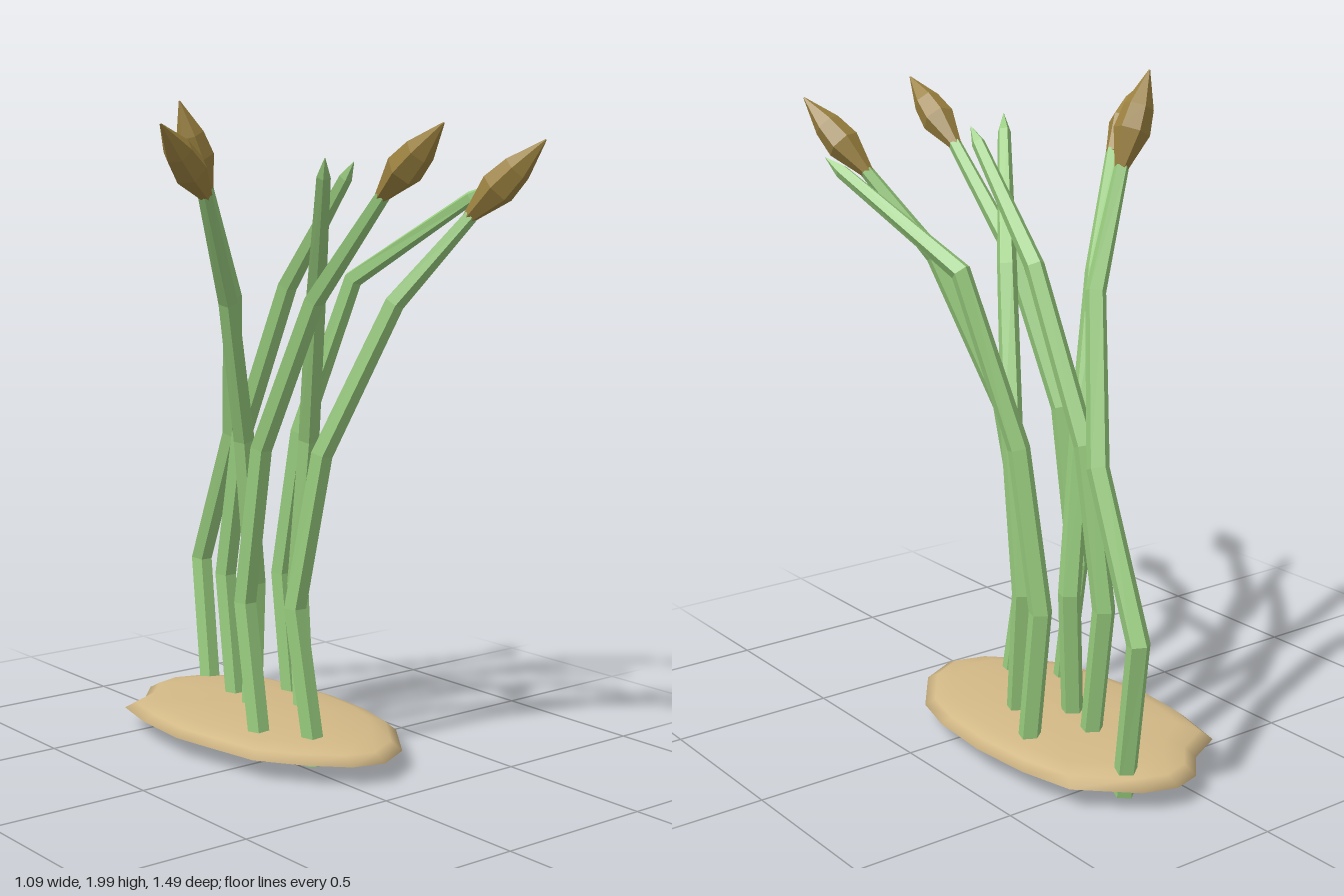
import * as THREE from 'three';

const material = (color, flatShading) =>
  new THREE.MeshStandardMaterial({ color, flatShading, roughness: 0.9 });
const green = material(0x98cc7e, true);
const brown = material(0x9c8240, true);
const sand = material(0xd2b886, false);

// Quads between successive rings of n points, ring order counter-clockwise from above
function skin(rings, smooth) {
  const n = rings[0].length, pos = [], idx = [];
  rings.forEach(r => r.forEach(p => pos.push(p.x, p.y, p.z)));
  for (let i = 0; i < rings.length - 1; i++)
    for (let j = 0; j < n; j++) {
      const a = i * n + j, b = i * n + (j + 1) % n;
      idx.push(a, b, b + n, a, b + n, a + n);
    }
  let g = new THREE.BufferGeometry();
  g.setAttribute('position', new THREE.Float32BufferAttribute(pos, 3));
  g.setIndex(idx);
  if (!smooth) g = g.toNonIndexed();
  g.computeVertexNormals();
  return g;
}

// Faceted limb along a path, with one radius per point
function limb(path, radii, sides) {
  const rings = path.map((p, i) => {
    const prev = path[Math.max(i - 1, 0)], next = path[Math.min(i + 1, path.length - 1)];
    const t = new THREE.Vector3();
    if (p !== prev) t.add(p.clone().sub(prev).normalize());
    if (p !== next) t.add(next.clone().sub(p).normalize());
    t.normalize();
    const u = new THREE.Vector3(1, 0, 0).addScaledVector(t, -t.x).normalize();
    const v = t.clone().cross(u);
    return Array.from({ length: sides }, (_, k) => {
      const a = (k + 0.25) / sides * Math.PI * 2;
      return p.clone().addScaledVector(u, radii[i] * Math.cos(a)).addScaledVector(v, radii[i] * Math.sin(a));
    });
  });
  rings.unshift(rings[0].map(() => path[0].clone())); // closed foot
  return skin(rings, false);
}

// Reeds: path from foot to end, plus the head tip where there is a seed head
const reeds = [
  { path: [[.02, .025, .155], [-.01, .5, .09], [.03, .97, .165], [.15, 1.42, .345], [.28, 1.67, .52]], head: [.375, 1.88, .715] },
  { path: [[-.075, .025, .01], [-.08, .5, -.065], [-.075, .98, .01], [-.06, 1.43, .24], [-.04, 1.73, .51]], head: [-.03, 1.92, .74] },
  { path: [[.07, .025, -.235], [.105, .5, -.26], [.03, .97, -.215], [-.12, 1.41, -.09], [-.32, 1.73, .075]], head: [-.545, 1.92, .185] },
  { path: [[.18, .025, -.605], [.2, .5, -.685], [.18, .95, -.48], [.075, 1.41, -.335], [-.06, 1.74, -.28]], head: [-.17, 2, -.265] },
  { path: [[.185, .025, -.105], [.21, .5, -.175], [.19, .97, -.095], [.08, 1.42, .075], [-.12, 1.83, .36]] },
  { path: [[.275, .025, -.28], [.265, .5, -.33], [.28, .97, -.25], [.36, 1.46, -.09], [.54, 1.75, .32]] },
  { path: [[.11, .015, -.36], [.11, .5, -.425], [.11, .97, -.335], [.11, 1.45, -.1], [.11, 1.82, .21]] },
];

function makeReed({ path, head }, i) {
  const reed = new THREE.Group();
  reed.name = 'reed' + (i + 1);
  const pts = path.map(p => new THREE.Vector3(...p));
  const end = pts[4];
  let radii = [.034, .035, .034, .031, .022];
  if (!head) { // leaf blade ending in a short point
    pts.splice(4, 0, pts[3].clone().lerp(end, .88));
    radii = [.034, .035, .034, .031, .021, .001];
  }
  const stem = new THREE.Mesh(limb(pts, radii, 5), green);
  stem.name = head ? 'stem' : 'leaf';
  reed.add(stem);
  if (head) {
    const tip = new THREE.Vector3(...head);
    const profile = [[-.04, .018], [.1, .03], [.36, .053], [.62, .043], [1, .002]];
    const seed = new THREE.Mesh(
      limb(profile.map(([t]) => end.clone().lerp(tip, t)), profile.map(q => q[1]), 6), brown);
    seed.name = 'seedHead';
    reed.add(seed);
  }
  return reed;
}

// Low mound of soil with an irregular rim
function makeMound() {
  const cx = .09, cz = -.18;
  const rim = [[.4, -.2], [.385, -.4], [.345, -.57], [.2, -.71], [.1, -.745], [.01, -.72], [-.07, -.63],
    [-.19, -.57], [-.23, -.4], [-.245, -.2], [-.22, -.05], [-.19, .12], [-.1, .25], [0, .35], [.1, .38],
    [.22, .32], [.345, .15], [.385, 0]];
  const levels = [[0, .08], [.6, .075], [.93, .066], [1, .07], [.92, .093], [.78, .108], [.45, .117], [0, .12]];
  const rings = levels.map(([s, y]) =>
    rim.map(([x, z]) => new THREE.Vector3(cx + (x - cx) * s, y, cz + (z - cz) * s)));
  const mound = new THREE.Mesh(skin(rings, true), sand);
  mound.name = 'soilMound';
  return mound;
}

export function createModel() {
  const model = new THREE.Group();
  model.name = 'reedClump';
  model.add(makeMound(), ...reeds.map(makeReed));
  return model;
}
